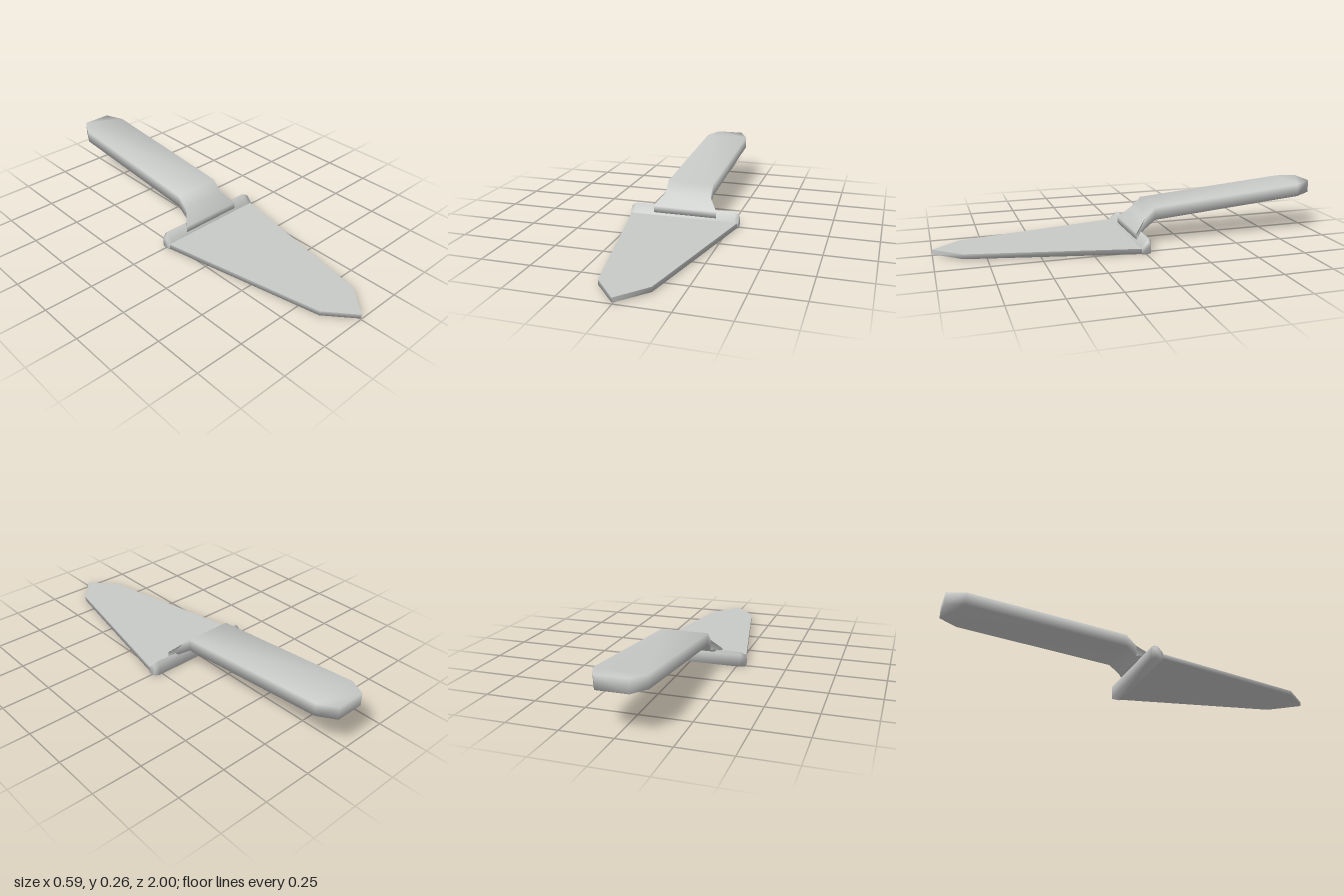
import * as THREE from 'three';

// Skin a row of cross-sections (each an equal-length loop of [x, y, z] points,
// counter-clockwise seen from the first end) with smooth shared normals.
function loft(sections, { edges = null, caps = true } = {}) {
  const n = sections[0].length;
  const last = (sections.length - 1) * n;
  const index = [];
  for (let s = 0; s < sections.length - 1; s++) {
    for (let i = 0; i < n; i++) {
      if (edges && !edges.includes(i)) continue;
      const a = s * n + i, b = s * n + (i + 1) % n;
      index.push(a, a + n, b + n, a, b + n, b);
    }
  }
  if (caps) {
    for (let i = 1; i < n - 1; i++) {
      index.push(0, i, i + 1, last, last + i + 1, last + i);
    }
  }
  const geometry = new THREE.BufferGeometry();
  geometry.setAttribute('position', new THREE.Float32BufferAttribute(sections.flat(2), 3));
  geometry.setIndex(index);
  geometry.computeVertexNormals();
  return geometry;
}

export function createModel() {
  const group = new THREE.Group();
  const steel = new THREE.MeshStandardMaterial({ color: 0xc8cac8 });
  steel.name = 'paleSteel';

  const add = (name, geometry) => {
    const mesh = new THREE.Mesh(geometry, steel);
    mesh.name = name;
    group.add(mesh);
  };

  // Four-cornered section, with separate depths for its lower and upper edges
  const section = (cx, half, bottom, zBottom, top, zTop) => [
    [cx - half, bottom, zBottom], [cx + half, bottom, zBottom],
    [cx + half, top, zTop], [cx - half, top, zTop],
  ];

  // Blade: pointed plate with a crisp flat top and a soft underside
  const blade = [
    [0.001, 0.008, 1], [0.12, 0.007, 0.86], [0.29, 0.004, 0.01],
  ].map(([half, bottom, z]) => section(0, half, bottom, z, 0.031, z));
  add('blade', loft(blade, { edges: [0, 1, 3] }));
  add('bladeTop', loft(blade, { edges: [2], caps: false }));

  // Crossbar: sloped front, trimmed rear corners
  const bar = (x, back, top) => [
    [x, 0.002, 0.022], [x, 0.004, back], [x, top - 0.012, back],
    [x, top, back + 0.015], [x, 0.033, 0.022],
  ];
  add('crossbar', loft([
    bar(0.293, -0.02, 0.064), bar(0.27, -0.03, 0.078),
    bar(-0.27, -0.03, 0.078), bar(-0.293, -0.02, 0.064),
  ]));

  // Handle: flared foot, steep neck, long grip and tapered end
  add('handle', loft([
    section(0.005, 0.17, 0.043, 0.014, 0.078, 0.014),
    section(0.005, 0.123, 0.082, -0.045, 0.137, -0.045),
    section(0.005, 0.123, 0.125, -0.1, 0.19, -0.1),
    section(0.005, 0.123, 0.193, -0.91, 0.258, -0.91),
    section(0.005, 0.075, 0.2, -1, 0.265, -1),
  ]));

  return group;
}
